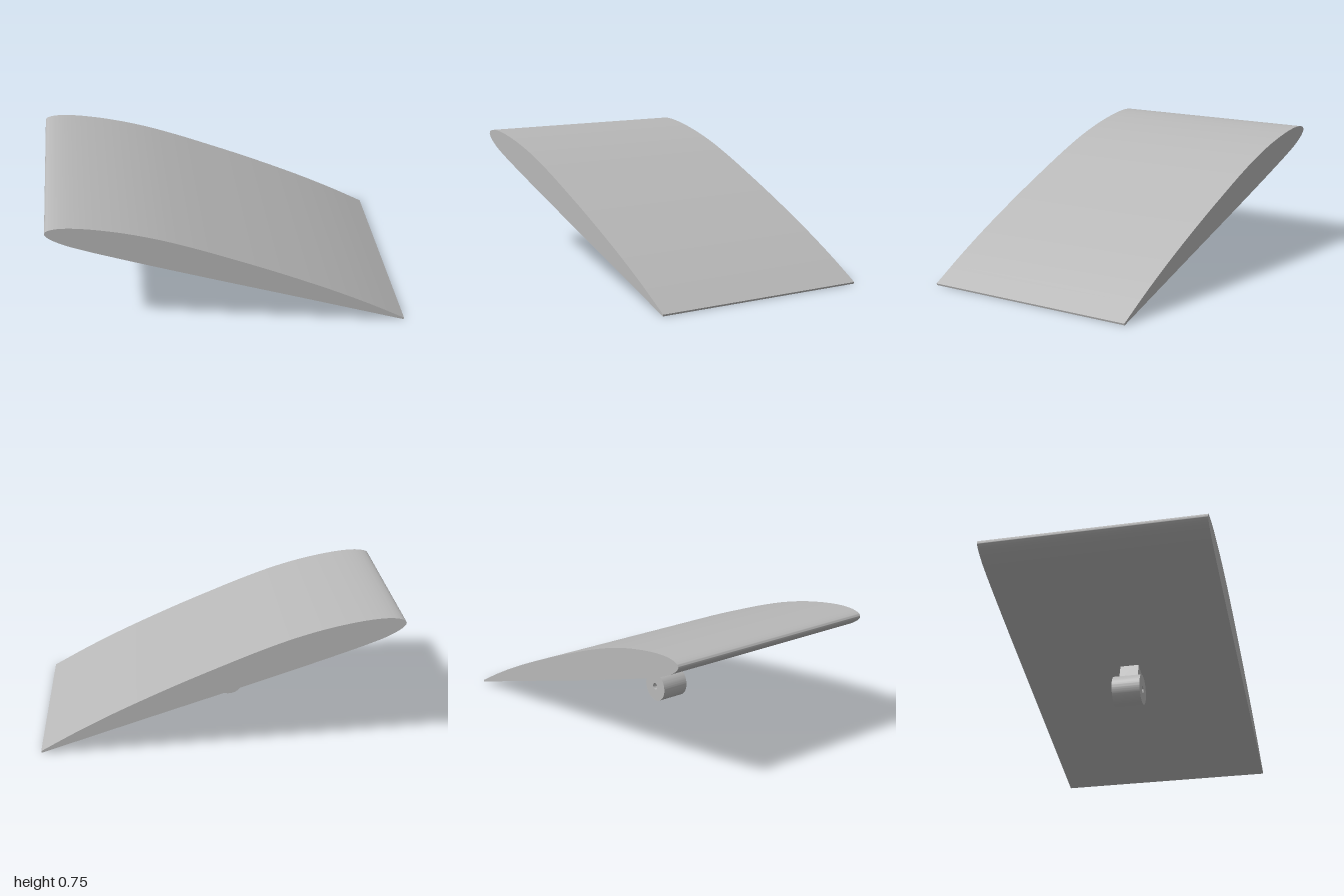
import * as THREE from 'three';
import { toCreasedNormals } from 'three/addons/utils/BufferGeometryUtils.js';

// Extrudes a shape along z, centred on z = 0, smooth except at sharp edges
function extrude(shape, depth) {
  const geometry = new THREE.ExtrudeGeometry(shape, { depth, bevelEnabled: false, curveSegments: 48 });
  geometry.translate(0, 0, -depth / 2);
  return toCreasedNormals(geometry, 0.6);
}

export function createModel() {
  const group = new THREE.Group();
  const grey = new THREE.MeshStandardMaterial({ color: 0xb8b8b8 });
  grey.name = 'grey';
  const add = (name, geometry) => {
    const mesh = new THREE.Mesh(geometry, grey);
    mesh.name = name;
    group.add(mesh);
    return mesh;
  };

  // Wing: section from the upper trailing edge, round the nose, to the lower trailing edge
  const section = [
    [1, 0.01], [0.8, 0.122], [0.6, 0.225], [0.4, 0.32], [0.2, 0.41], [0, 0.495],
    [-0.2, 0.577], [-0.4, 0.65], [-0.6, 0.707], [-0.8, 0.746], [-0.91, 0.755],
    [-0.965, 0.75], [-0.992, 0.74], [-1, 0.726], [-0.993, 0.711], [-0.97, 0.69],
    [-0.9, 0.65], [-0.8, 0.609], [-0.6, 0.537], [-0.2, 0.4], [0.4, 0.2], [0.997, 0],
  ].map(([x, y]) => new THREE.Vector3(x, y, 0));
  const outline = new THREE.CatmullRomCurve3(section, false, 'centripetal').getPoints(126);
  add('wing', extrude(new THREE.Shape(outline.map((p) => new THREE.Vector2(p.x, p.y))), 1.275));

  // Strut: square to the underside, running from inside the wing to the hub
  const strut = add('strut', new THREE.BoxGeometry(0.088, 0.15, 0.11));
  strut.position.set(-0.024, 0.3, 0);
  strut.rotation.z = -0.322;

  // Pivot hub: short cylinder with a through hole
  const ring = new THREE.Shape().absarc(0, 0, 0.089, 0, Math.PI * 2);
  ring.holes.push(new THREE.Path().absarc(0, 0, 0.02, 0, Math.PI * 2, true));
  add('pivotHub', extrude(ring, 0.165)).position.set(-0.071, 0.182, 0);

  return group;
}
